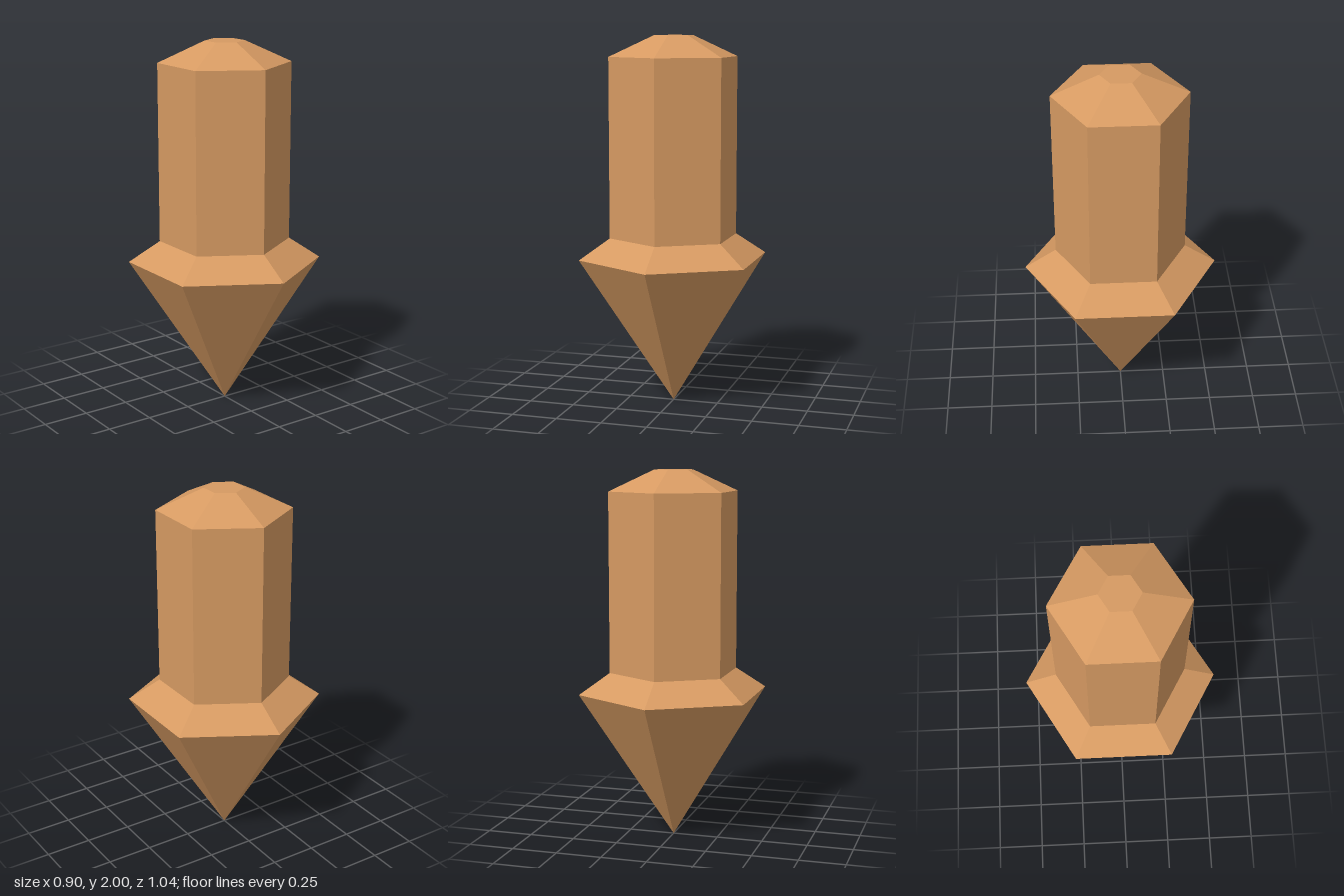
import * as THREE from 'three';

const SIDES = 6;

export function createModel() {
  const group = new THREE.Group();
  const material = new THREE.MeshStandardMaterial({ color: 0xd69a62, flatShading: true });

  // Hexagonal section between two heights, with corners on the z axis
  const addSection = (name, y0, r0, y1, r1) => {
    const geometry = new THREE.CylinderGeometry(r1, r0, y1 - y0, SIDES, 1, true);
    const mesh = new THREE.Mesh(geometry, material);
    mesh.name = name;
    mesh.position.y = (y0 + y1) / 2;
    group.add(mesh);
  };

  addSection('point', 0, 0, 0.808, 0.522);
  addSection('collar', 0.808, 0.522, 0.921, 0.353);
  addSection('shaft', 0.921, 0.353, 1.887, 0.353);
  addSection('topBevel', 1.887, 0.353, 2, 0.106);

  // Flat hexagon closing the top
  const cap = new THREE.Mesh(new THREE.CircleGeometry(0.106, SIDES, Math.PI / 2), material);
  cap.name = 'topCap';
  cap.rotation.x = -Math.PI / 2;
  cap.position.y = 2;
  group.add(cap);

  return group;
}
